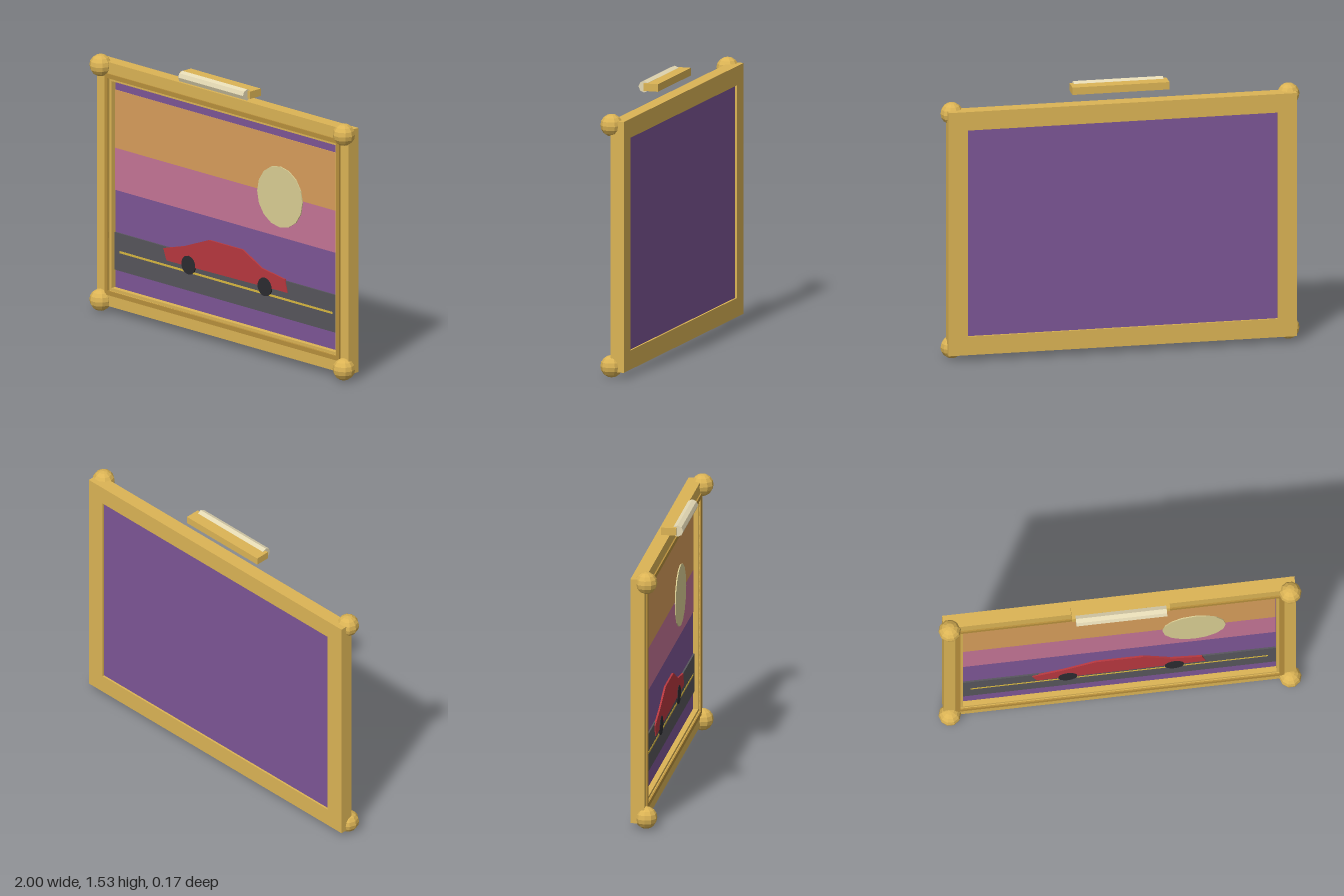
import * as THREE from 'three';

const GOLD = 0xdcb455, DARK_GOLD = 0xb8903c, PURPLE = 0x7d5696;
const CY = 0.735; // height of the frame's centre

export function createModel() {
  const model = new THREE.Group();

  const add = (name, geometry, color, x = 0, y = 0, z = 0) => {
    const mesh = new THREE.Mesh(geometry, new THREE.MeshStandardMaterial({ color, flatShading: true }));
    mesh.name = name;
    mesh.position.set(x, y, z);
    model.add(mesh);
    return mesh;
  };

  // Flat box given by its x, y and z ranges
  const slab = (name, color, halfWidth, y0, y1, z0, z1) =>
    add(name, new THREE.BoxGeometry(halfWidth * 2, y1 - y0, z1 - z0), color, 0, (y0 + y1) / 2, (z0 + z1) / 2);

  const rectangle = (Type, w, h) => new Type([
    new THREE.Vector2(-w, -h), new THREE.Vector2(w, -h),
    new THREE.Vector2(w, h), new THREE.Vector2(-w, h),
  ]);

  // Rectangular ring: outer and inner half sizes, back and front depth
  const ring = (name, color, [ow, oh], [iw, ih], z0, z1) => {
    const shape = rectangle(THREE.Shape, ow, oh);
    shape.holes.push(rectangle(THREE.Path, iw, ih));
    add(name, new THREE.ExtrudeGeometry(shape, { depth: z1 - z0, bevelEnabled: false }), color, 0, CY, z0);
  };

  // Frame, raised dark trim and inner lip
  ring('frame', GOLD, [0.97, 0.697], [0.88, 0.607], -0.087, -0.01);
  ring('darkTrim', DARK_GOLD, [0.905, 0.632], [0.88, 0.607], -0.03, -0.002);
  ring('innerLip', GOLD, [0.88, 0.607], [0.864, 0.591], -0.087, -0.015);

  // Corner knobs
  for (const x of [-0.938, 0.938]) {
    for (const y of [-0.67, 0.67]) {
      add('cornerKnob', new THREE.SphereGeometry(0.062, 10, 8), GOLD, x, CY + y, -0.005);
    }
  }

  // Picture panel and sky bands
  slab('picturePanel', PURPLE, 0.866, 0.142, 1.328, -0.076, -0.045);
  slab('orangeSky', 0xd89e5b, 0.862, 0.94, 1.272, -0.05, -0.042);
  slab('pinkSky', 0xc57596, 0.862, 0.70, 0.94, -0.05, -0.042);

  // Sun disc
  add('sun', new THREE.CylinderGeometry(0.174, 0.174, 0.01, 16), 0xdbcf94, 0.412, 0.93, -0.041)
    .rotation.x = Math.PI / 2;

  // Road and centre line
  slab('road', 0x57565c, 0.862, 0.246, 0.46, -0.05, -0.036);
  slab('roadLine', 0xd8b840, 0.82, 0.348, 0.36, -0.04, -0.034);

  // Car silhouette and wheels
  const outline = [
    [-0.455, 0.385], [0.475, 0.397], [0.455, 0.47], [0.28, 0.495],
    [0.13, 0.57], [-0.13, 0.57], [-0.32, 0.495], [-0.48, 0.45],
  ].map(([x, y]) => new THREE.Vector2(x, y));
  add('carBody', new THREE.ExtrudeGeometry(new THREE.Shape(outline), { depth: 0.01, bevelEnabled: false }),
    0xb8383f, 0, 0, -0.04);
  for (const x of [-0.285, 0.303]) {
    add('carWheel', new THREE.CylinderGeometry(0.053, 0.053, 0.014, 14), 0x2b2b30, x, 0.395, -0.034)
      .rotation.x = Math.PI / 2;
  }

  // Picture lamp floating over the frame
  slab('lampBracket', GOLD, 0.27, 1.478, 1.52, -0.033, 0.05);
  add('lampTube', new THREE.CylinderGeometry(0.032, 0.032, 0.5, 8), 0xe4d9b4, 0, 1.498, 0.054)
    .rotation.z = Math.PI / 2;

  return model;
}
